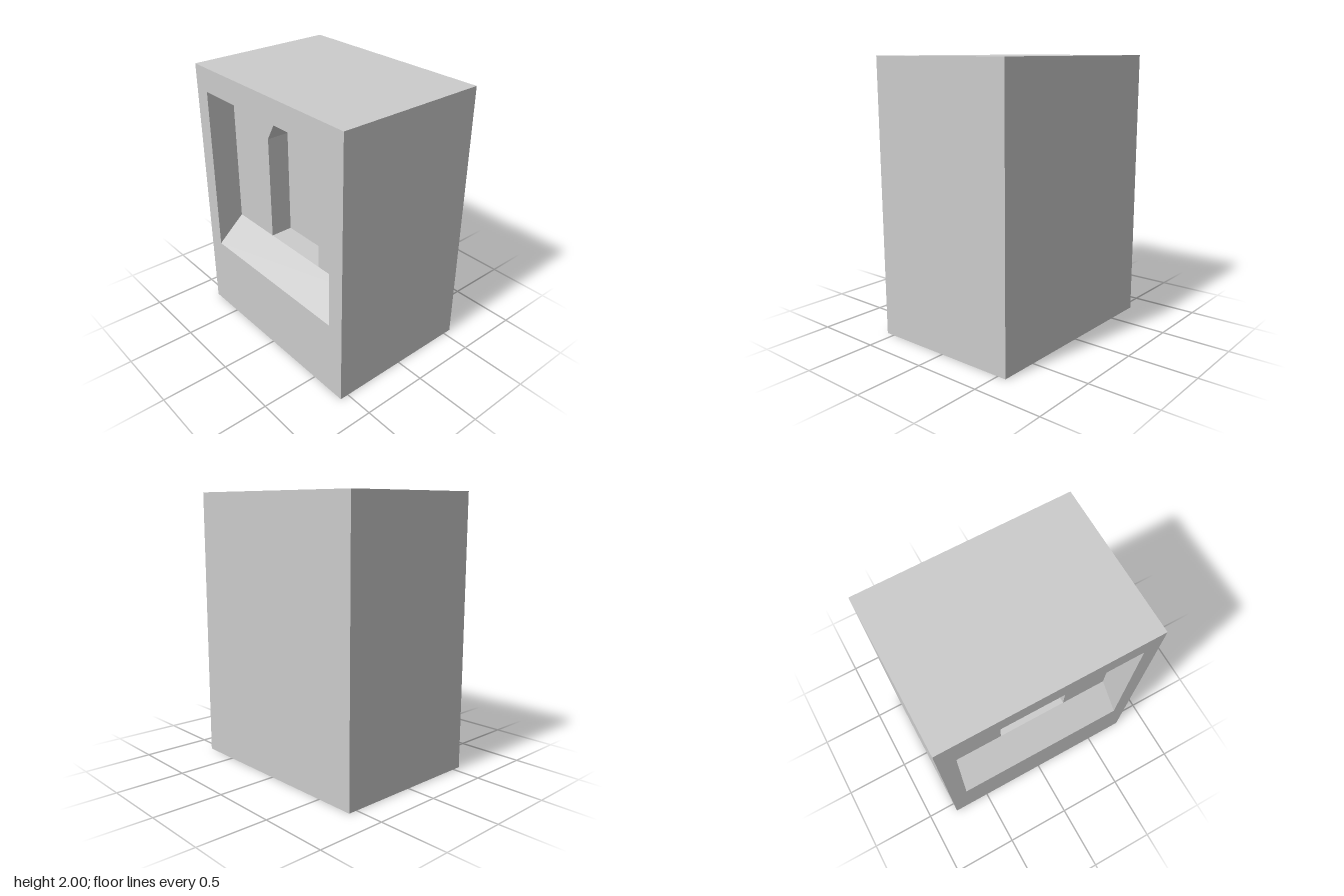
import * as THREE from 'three';

const material = new THREE.MeshStandardMaterial({ color: 0xcccccc, flatShading: true });

// Outlines run counter-clockwise as seen from the front.
const rect = (x, y0, y1) => [[-x, y0], [x, y0], [x, y1], [-x, y1]];
const toVectors = (pts) => pts.map(([x, y]) => new THREE.Vector2(x, y));

// Flat panel facing +z, with an optional opening.
function panel(name, outline, z, hole) {
  const shape = new THREE.Shape(toVectors(outline));
  if (hole) shape.holes.push(new THREE.Path(toVectors(hole)));
  const mesh = new THREE.Mesh(new THREE.ShapeGeometry(shape), material);
  mesh.name = name;
  mesh.position.z = z;
  return mesh;
}

// Walls joining two outlines: front to back faces inward, back to front faces outward.
function walls(name, a, za, b, zb) {
  const positions = [];
  a.forEach((p, i) => {
    const j = (i + 1) % a.length;
    const a0 = [...p, za], a1 = [...a[j], za];
    const b0 = [...b[i], zb], b1 = [...b[j], zb];
    positions.push(...a0, ...a1, ...b1, ...a0, ...b1, ...b0);
  });
  const geometry = new THREE.BufferGeometry();
  geometry.setAttribute('position', new THREE.Float32BufferAttribute(positions, 3));
  geometry.computeVertexNormals();
  const mesh = new THREE.Mesh(geometry, material);
  mesh.name = name;
  return mesh;
}

export function createModel() {
  const group = new THREE.Group();
  group.name = 'nicheBlock';

  const front = 0.565, recessZ = 0.355, nicheZ = 0.185;
  const outer = rect(0.785, 0, 2);
  const opening = rect(0.66, 0.57, 1.825);
  const recess = rect(0.66, 0.755, 1.825); // raised bottom edge makes the sloping sill
  const niche = [[-0.245, 0.755], [0.3, 0.755], [0.3, 1.545], [0.195, 1.685],
    [0.015, 1.72], [-0.165, 1.685], [-0.245, 1.545]];

  // Outer block
  const back = panel('backFace', outer, -front);
  back.rotation.y = Math.PI;
  group.add(
    walls('outerWalls', outer, -front, outer, front),
    back,
    panel('frontFace', outer, front, opening),
  );

  // Recess with sloping sill; its rear wall runs around the arched niche
  const [bl, br, tr, tl] = recess;
  const around = [bl, niche[0], ...niche.slice(1).reverse(), br, tr, tl];
  group.add(
    walls('recessWallsAndSill', opening, front, recess, recessZ),
    panel('recessRearWall', around, recessZ),
  );

  // Arched niche
  group.add(
    walls('nicheWalls', niche, recessZ, niche, nicheZ),
    panel('nicheRearWall', niche, nicheZ),
  );
  return group;
}
